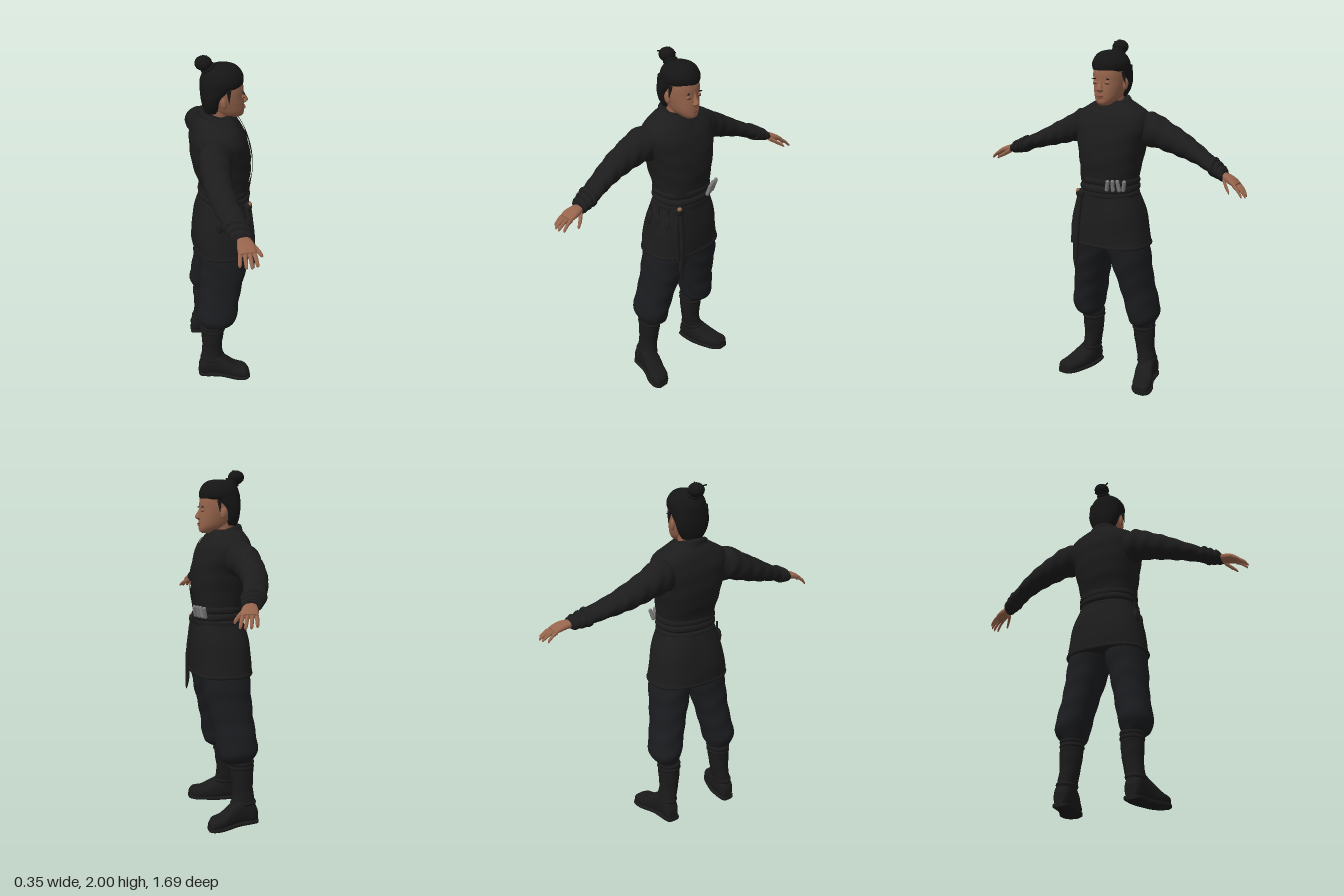
import * as THREE from 'three';

const mat = (name, color) => Object.assign(new THREE.MeshStandardMaterial({ color, side: THREE.DoubleSide }), { name });

// Smooth a list of sections [t, a0, a1, b0, b1] with Catmull-Rom steps
function smooth(sections, steps = 6) {
  const out = [], n = sections.length;
  for (let i = 0; i < n - 1; i++) {
    const q = [Math.max(i - 1, 0), i, i + 1, Math.min(i + 2, n - 1)].map((k) => sections[k]);
    for (let s = 0; s < steps; s++) {
      const u = s / steps;
      out.push(q[1].map((_, k) => {
        const [a, b, c, d] = q.map((r) => r[k]);
        return b + 0.5 * u * (c - a + u * (2 * a - 5 * b + 4 * c - d + u * (3 * (b - c) + d - a)));
      }));
    }
  }
  out.push(sections[n - 1]);
  return out;
}

// Closed skin over super-ellipse sections along an axis; fold adds cloth creases
function loft(axis, sections, { p = 2, fold = 0, freq = 90, sides = 40, tilt = 0, steps = 6 } = {}) {
  const rows = smooth(sections, steps), pos = [], idx = [];
  const pw = (v) => Math.sign(v) * Math.abs(v) ** (2 / p);
  const ring = (r, k) => {
    const [t, a0, a1, b0, b1] = r;
    for (let i = 0; i < sides; i++) {
      const th = (i / sides) * Math.PI * 2;
      const w = k * (1 + fold * Math.sin(t * freq + 2.5 * Math.cos(th) + 1.7 * Math.sin(2 * th)));
      const a = (a0 + a1) / 2 + (Math.abs(a1 - a0) / 2) * pw(Math.cos(th)) * w;
      const b = (b0 + b1) / 2 + (Math.abs(b1 - b0) / 2) * pw(Math.sin(th)) * w;
      if (axis === 'y') pos.push(a, t - tilt * a, b);
      else if (axis === 'z') pos.push(a, b, t);
      else pos.push(t, a, b);
    }
  };
  const last = rows[rows.length - 1];
  ring(rows[0], 0); ring(rows[0], 1);
  rows.forEach((r) => ring(r, 1));
  ring(last, 1); ring(last, 0);
  const flip = (axis === 'y') !== (last[0] < rows[0][0]);
  for (let j = 0; j < rows.length + 3; j++) {
    if (j === 1 || j === rows.length + 1) continue;
    for (let i = 0; i < sides; i++) {
      const a = j * sides + i, b = j * sides + ((i + 1) % sides), c = a + sides, d = b + sides;
      if (flip) idx.push(a, c, b, b, c, d); else idx.push(a, b, c, b, d, c);
    }
  }
  const g = new THREE.BufferGeometry();
  g.setAttribute('position', new THREE.Float32BufferAttribute(pos, 3));
  g.setIndex(idx);
  g.computeVertexNormals();
  return g;
}

// Front x of a vertical loft at a given height and side offset
function frontX(rows, p, y, z) {
  let i = 0;
  while (i < rows.length - 2 && rows[i + 1][0] < y) i++;
  const u = (y - rows[i][0]) / (rows[i + 1][0] - rows[i][0]);
  const [, x0, x1, z0, z1] = rows[i].map((v, k) => v + (rows[i + 1][k] - v) * u);
  const r = Math.min(Math.abs((z - (z0 + z1) / 2) / ((z1 - z0) / 2)), 1);
  return (x0 + x1) / 2 + ((x1 - x0) / 2) * (1 - r ** p) ** (1 / p);
}

export function createModel() {
  const root = new THREE.Group();
  const cloth = mat('black cloth', 0x1c1c1c), trouser = mat('charcoal cloth', 0x1b1c1f);
  const leather = mat('black leather', 0x1a1a1a), hair = mat('black hair', 0x151515);
  const skin = mat('skin', 0x96644c), lip = mat('lips', 0x7d4a3c), steel = mat('steel grey', 0x7c7c7c);
  const add = (name, geo, m, x = 0, y = 0, z = 0, sx = 1, sy = 1, sz = 1) => {
    const mesh = new THREE.Mesh(geo, m);
    mesh.name = name;
    mesh.position.set(x, y, z);
    mesh.scale.set(sx, sy, sz);
    root.add(mesh);
    return mesh;
  };
  const ball = new THREE.SphereGeometry(1, 24, 16);

  // Jacket body, skirt and collar
  const torso = [[1.14, -0.12, 0.14, -0.16, 0.16], [1.25, -0.125, 0.145, -0.165, 0.165], [1.35, -0.158, 0.156, -0.18, 0.18],
    [1.45, -0.173, 0.15, -0.2, 0.2], [1.54, -0.173, 0.128, -0.222, 0.222], [1.6, -0.16, 0.1, -0.205, 0.205],
    [1.64, -0.142, 0.072, -0.145, 0.145], [1.67, -0.12, 0.05, -0.09, 0.09]];
  add('jacketBody', loft('y', torso, { p: 2.4, fold: 0.008, freq: 60, sides: 64 }), cloth);
  add('jacketSkirt', loft('y', [[0.86, -0.172, 0.165, -0.235, 0.235], [0.95, -0.17, 0.163, -0.222, 0.222],
    [1.05, -0.158, 0.16, -0.202, 0.202], [1.16, -0.125, 0.145, -0.166, 0.166]], { p: 2.5, fold: 0.01, freq: 25, sides: 64 }), cloth);
  add('skirtHem', loft('y', [[0.856, -0.173, 0.166, -0.236, 0.236], [0.865, -0.176, 0.169, -0.239, 0.239],
    [0.876, -0.173, 0.166, -0.235, 0.235]], { p: 2.5, sides: 64 }), cloth);
  add('collar', loft('y', [[1.6, -0.14, 0.1, -0.125, 0.125], [1.63, -0.128, 0.092, -0.112, 0.112],
    [1.655, -0.122, 0.082, -0.1, 0.1], [1.665, -0.112, 0.07, -0.088, 0.088]], { tilt: 0.3, fold: 0.015 }), cloth);

  // Crossed lapels lying on the chest
  const chest = smooth(torso);
  const lapel = (name, from, to, width, lift) => {
    const g = new THREE.PlaneGeometry(1, 1, 4, 24), at = g.attributes.position;
    const dy = to[0] - from[0], dz = to[1] - from[1], len = Math.hypot(dy, dz);
    for (let i = 0; i < at.count; i++) {
      const u = 0.5 - at.getY(i), v = at.getX(i) * width;
      const y = from[0] + dy * u + (dz / len) * v, z = from[1] + dz * u - (dy / len) * v;
      at.setXYZ(i, frontX(chest, 2.4, y, z) + lift, y, z);
    }
    g.computeVertexNormals();
    add(name, g, cloth);
  };
  lapel('underLapel', [1.62, 0.085], [1.45, 0.0], 0.05, 0.006);
  lapel('overLapel', [1.62, -0.085], [1.24, 0.125], 0.06, 0.01);

  // Wrapped sash
  [1.135, 1.172, 1.21].forEach((y, i) => {
    const e = i === 1 ? 0.004 : 0;
    const band = (h, k) => [y + h, -0.124 - k - e, 0.146 + k + e, -0.166 - k, 0.166 + k];
    add('sashWrap', loft('y', [band(0, -0.006), band(0.01, 0.004), band(0.03, 0.004), band(0.042, -0.006)],
      { p: 2.3, sides: 56, tilt: i === 1 ? 0.03 : -0.02 }), cloth);
  });

  // Sash knot, hanging tails and small pouches on the left hip
  add('sashKnot', ball, cloth, 0.125, 1.15, 0.125, 0.025, 0.03, 0.03);
  add('knotBead', ball, skin, 0.135, 1.168, 0.135, 0.012, 0.012, 0.014);
  add('longTail', loft('y', [[0.73, 0.162, 0.168, 0.143, 0.15], [0.8, 0.148, 0.17, 0.128, 0.16], [0.95, 0.145, 0.168, 0.12, 0.15],
    [1.14, 0.12, 0.146, 0.11, 0.14]], { p: 3, fold: 0.05 }), cloth);
  add('shortTail', loft('y', [[0.86, 0.145, 0.163, 0.15, 0.175], [1.0, 0.125, 0.15, 0.14, 0.175], [1.14, 0.105, 0.13, 0.12, 0.15]],
    { p: 3, fold: 0.05 }), cloth);
  [[0.075, 0.172], [0.02, 0.19], [-0.04, 0.193]].forEach(([x, z], i) => {
    add('hipPouch', ball, cloth, x, 1.055 + i * 0.008, z, 0.022, 0.045, 0.018);
    add('pouchCord', new THREE.CylinderGeometry(0.006, 0.006, 0.08, 8), cloth, x, 1.12, z - 0.008);
  });

  // Throwing-blade handles tucked into the sash
  for (let i = 0; i < 4; i++) {
    const z = -0.07 - i * 0.028;
    const h = add('bladeHandle', new THREE.CapsuleGeometry(0.011, 0.05, 4, 12), steel, 0.158 - i * 0.012, 1.222, z);
    h.rotation.set(-0.25 + 0.18 * (i % 3), 0, -0.2);
  }

  // Neck, head and face
  add('neck', loft('y', [[1.56, -0.08, 0.03, -0.06, 0.06], [1.64, -0.08, 0.035, -0.058, 0.058], [1.72, -0.08, 0.05, -0.06, 0.06]]), skin);
  const head = [[1.65, 0.045, 0.1, -0.024, 0.024], [1.663, 0.0, 0.115, -0.043, 0.043], [1.69, -0.05, 0.118, -0.064, 0.064],
    [1.73, -0.085, 0.117, -0.077, 0.077], [1.775, -0.1, 0.112, -0.086, 0.086], [1.82, -0.1, 0.112, -0.088, 0.088],
    [1.87, -0.095, 0.1, -0.083, 0.083], [1.91, -0.07, 0.07, -0.06, 0.06]];
  add('head', loft('y', head, { p: 2.2 }), skin);
  const face = smooth(head), onFace = (y, z) => frontX(face, 2.2, y, z);
  add('nose', loft('y', [[1.722, 0.1, 0.122, -0.012, 0.012], [1.733, 0.1, 0.137, -0.02, 0.02], [1.745, 0.1, 0.138, -0.015, 0.015],
    [1.775, 0.09, 0.12, -0.009, 0.009], [1.8, 0.09, 0.113, -0.01, 0.01]], { sides: 20 }), skin);
  add('upperLip', ball, lip, onFace(1.702, 0), 1.702, 0, 0.007, 0.004, 0.025);
  add('lowerLip', ball, lip, onFace(1.694, 0), 1.694, 0, 0.007, 0.005, 0.02);
  for (const s of [1, -1]) {
    add('eyelid', ball, skin, onFace(1.772, 0.036) - 0.002, 1.773, 0.036 * s, 0.007, 0.009, 0.018);
    add('lashLine', ball, hair, onFace(1.768, 0.036) + 0.003, 1.768, 0.036 * s, 0.004, 0.0018, 0.015);
    const brow = add('eyebrow', ball, hair, onFace(1.792, 0.038), 1.793, 0.038 * s, 0.005, 0.0035, 0.02);
    brow.rotation.set(0.1 * s, 0.45 * s, 0);
    const ear = add('ear', ball, skin, -0.002, 1.76, 0.089 * s, 0.018, 0.031, 0.011);
    ear.rotation.set(0, 0.3 * s, 0.15);
    // Loose locks beside the ears
    const lock = add('sideLock', new THREE.ConeGeometry(0.013, 0.07, 10), hair, 0.022, 1.795, 0.095 * s);
    lock.rotation.set(Math.PI - 0.2 * s, 0, 0);
  }

  // Hair cap, nape and topknot
  add('hairCap', loft('y', [[1.832, -0.112, 0.108, -0.093, 0.093], [1.85, -0.113, 0.113, -0.101, 0.101], [1.88, -0.108, 0.111, -0.1, 0.1],
    [1.912, -0.092, 0.094, -0.082, 0.082], [1.932, -0.062, 0.068, -0.056, 0.056], [1.941, -0.02, 0.03, -0.02, 0.02]]), hair);
  add('napeHair', loft('y', [[1.69, -0.095, -0.02, -0.058, 0.058], [1.73, -0.106, -0.012, -0.082, 0.082],
    [1.78, -0.112, 0.0, -0.096, 0.096], [1.82, -0.113, 0.045, -0.1, 0.1], [1.86, -0.112, 0.07, -0.1, 0.1]], { p: 2.5 }), hair);
  add('topknot', ball, hair, -0.095, 1.953, 0, 0.045, 0.038, 0.044);
  const tie = add('topknotTie', new THREE.TorusGeometry(0.03, 0.01, 10, 28), hair, -0.072, 1.926, 0);
  tie.rotation.set(Math.PI / 2, 0.5, 0);
  add('topknotTip', new THREE.ConeGeometry(0.007, 0.035, 8), hair, -0.078, 1.9825, 0);
  const pin = add('hairPin', new THREE.CylinderGeometry(0.004, 0.004, 0.11, 8), hair, -0.1, 1.965, 0);
  pin.rotation.set(Math.PI / 2 - 0.25, 0, 0.3);

  for (const s of [1, -1]) {
    // The right arm reaches a little further forward
    const bend = (list) => list.map(([z, x0, x1, y0, y1]) => {
      const q = s < 0 ? Math.max(z - 0.45, 0) ** 2 : 0;
      return [z * s, x0 + 0.53 * q, x1 + 0.53 * q, y0 - 0.18 * q, y1 - 0.18 * q];
    });
    const limb = (name, list, m, o) => add(name, loft('z', bend(list), o), m);

    // Sleeve, wrist wraps and hand
    limb('sleeve', [[0.15, -0.14, 0.05, 1.42, 1.6], [0.2, -0.155, 0.03, 1.42, 1.61], [0.25, -0.16, 0.01, 1.415, 1.6],
      [0.33, -0.158, -0.002, 1.395, 1.555], [0.41, -0.15, -0.005, 1.375, 1.515], [0.5, -0.13, 0.005, 1.355, 1.465],
      [0.58, -0.105, 0.022, 1.335, 1.425], [0.65, -0.08, 0.03, 1.31, 1.39], [0.705, -0.055, 0.035, 1.312, 1.365]], cloth, { fold: 0.035, freq: 75 });
    [0.615, 0.645, 0.675].forEach((z, i) => {
      const x0 = -0.1 + i * 0.013, y0 = 1.316 - i * 0.004, y1 = 1.412 - i * 0.015;
      limb('wristWrap', [[z, x0, 0.034, y0, y1], [z + 0.012, x0, 0.038, y0 - 0.004, y1 + 0.002], [z + 0.024, x0 + 0.008, 0.034, y0, y1 - 0.01]], cloth);
    });
    limb('palm', [[0.69, -0.04, 0.02, 1.318, 1.355], [0.73, -0.045, 0.035, 1.312, 1.352], [0.765, -0.05, 0.04, 1.305, 1.34],
      [0.79, -0.046, 0.036, 1.3, 1.325]], skin, { p: 2.5, sides: 24 });
    for (let i = 0; i < 4; i++) {
      const x = -0.039 + i * 0.022, l = [0.05, 0.068, 0.072, 0.06][i], d = (i - 1.5) * 0.006;
      const f = (u, r, drop) => [0.775 + l * u, x + d * u - r, x + d * u + r, 1.313 - drop - r, 1.313 - drop + r];
      limb('finger', [f(0, 0.0105, 0), f(0.4, 0.0105, 0.01), f(0.75, 0.0095, 0.026), f(0.95, 0.008, 0.038), f(1, 0.004, 0.042)], skin, { sides: 14 });
    }
    limb('thumb', [[0.71, 0.0, 0.032, 1.308, 1.338], [0.735, 0.028, 0.056, 1.292, 1.318], [0.758, 0.05, 0.071, 1.28, 1.3],
      [0.77, 0.062, 0.075, 1.274, 1.287]], skin, { sides: 14 });

    // Baggy trouser leg gathered below the knee
    const side = (list) => list.map(([t, a0, a1, b0, b1]) => [t, a0, a1, b0 * s, b1 * s]);
    add('trouserLeg', loft('y', side([[0.365, -0.14, 0.015, 0.125, 0.235], [0.39, -0.155, 0.045, 0.112, 0.26], [0.44, -0.174, 0.06, 0.1, 0.277],
      [0.52, -0.167, 0.07, 0.082, 0.265], [0.62, -0.155, 0.09, 0.06, 0.247], [0.74, -0.148, 0.12, 0.028, 0.236],
      [0.85, -0.145, 0.14, 0.0, 0.226], [0.95, -0.145, 0.14, -0.01, 0.2]]), { p: 2.2, fold: 0.018, freq: 50 }), trouser);

    // Boot shaft, straps, foot and sole
    add('bootShaft', loft('y', side([[0.06, -0.165, -0.01, 0.155, 0.25], [0.12, -0.16, -0.02, 0.148, 0.248], [0.2, -0.15, -0.03, 0.13, 0.238],
      [0.28, -0.152, -0.02, 0.118, 0.24], [0.37, -0.155, -0.008, 0.113, 0.24]]), { fold: 0.012 }), leather);
    [[0.125, -0.165, -0.014, 0.143, 0.253], [0.335, -0.158, -0.007, 0.11, 0.243], [0.36, -0.158, -0.003, 0.11, 0.243]].forEach(([y, a, b, c, d]) =>
      add('bootStrap', loft('y', side([[y - 0.011, a + 0.005, b - 0.005, c + 0.005, d - 0.005], [y, a, b, c, d],
        [y + 0.011, a + 0.005, b - 0.005, c + 0.005, d - 0.005]])), leather));
    add('foot', loft('x', side([[-0.172, 0.01, 0.08, 0.175, 0.225], [-0.15, 0.005, 0.12, 0.16, 0.243], [-0.09, 0.005, 0.16, 0.153, 0.252],
      [-0.02, 0.005, 0.125, 0.16, 0.275], [0.045, 0.005, 0.082, 0.182, 0.303], [0.1, 0.005, 0.07, 0.205, 0.312],
      [0.126, 0.01, 0.045, 0.235, 0.295]]), { p: 2.6 }), leather);
    add('sole', loft('x', side([[-0.176, 0, 0.02, 0.175, 0.225], [-0.155, 0, 0.022, 0.157, 0.245], [-0.05, 0, 0.022, 0.154, 0.266],
      [0.04, 0, 0.022, 0.176, 0.308], [0.1, 0, 0.022, 0.2, 0.317], [0.13, 0, 0.02, 0.235, 0.297]]), { p: 5 }), leather);
  }
  return root;
}
